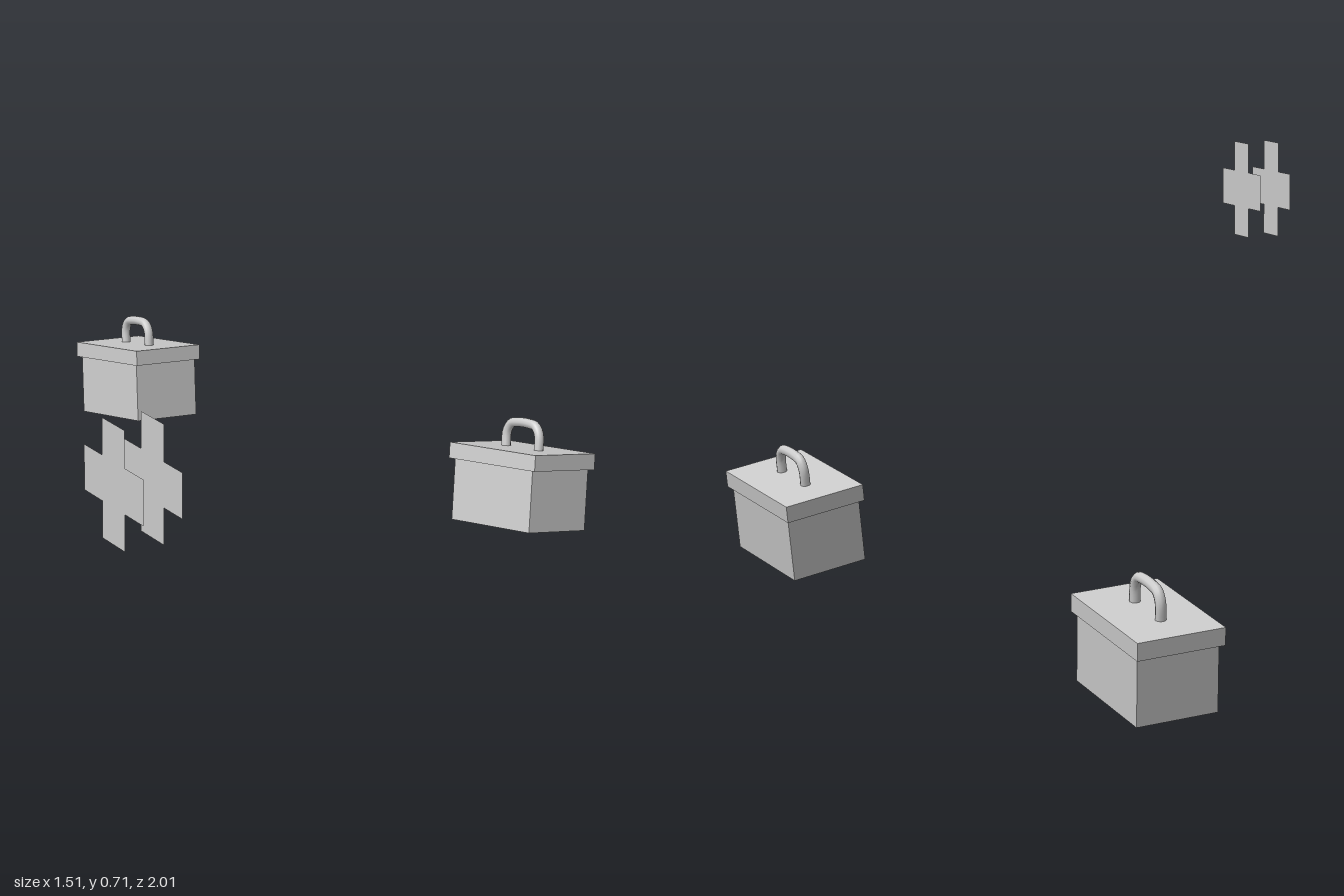
import * as THREE from 'three';

const grey = new THREE.MeshStandardMaterial({ color: 0xcccccc, flatShading: true });
const thinGrey = new THREE.MeshStandardMaterial({ color: 0xcccccc, side: THREE.DoubleSide });
const smoothGrey = new THREE.MeshStandardMaterial({ color: 0xcccccc });

function part(parent, name, geometry, material, x = 0, y = 0, z = 0) {
  const mesh = new THREE.Mesh(geometry, material);
  mesh.name = name;
  mesh.position.set(x, y, z);
  parent.add(mesh);
  return mesh;
}

// Carry case; its origin is the middle of the lid's top
function carryCase(name, position, rotation) {
  const box = new THREE.Group();
  box.name = name;
  const height = 0.145, lid = 0.03;
  part(box, 'body', new THREE.BoxGeometry(0.142, height - lid, 0.21), grey, 0, -(height + lid) / 2, 0);
  part(box, 'lid', new THREE.BoxGeometry(0.153, lid, 0.232), grey, 0, -lid / 2, 0);

  // Arched grip running front to back
  const path = new THREE.CatmullRomCurve3([
    [-0.005, -0.044], [0.028, -0.043], [0.043, -0.033], [0.047, -0.015],
    [0.047, 0.015], [0.043, 0.033], [0.028, 0.043], [-0.005, 0.044],
  ].map(([y, z]) => new THREE.Vector3(0, y, z)));
  part(box, 'handle', new THREE.TubeGeometry(path, 28, 0.009, 10), smoothGrey);

  box.position.set(...position);
  box.rotation.set(...rotation);
  return box;
}

// Flat plus-shaped panel in the xy plane
function crossGeometry(half, arm) {
  const points = [];
  for (let i = 0; i < 4; i++) {
    for (const [x, y] of [[half, -arm], [half, arm], [arm, arm]]) {
      points.push(new THREE.Vector2(x, y).rotateAround(new THREE.Vector2(), i * Math.PI / 2));
    }
  }
  return new THREE.ShapeGeometry(new THREE.Shape(points));
}

export function createModel() {
  const model = new THREE.Group();
  model.name = 'casesAndCrosses';

  model.add(carryCase('frontCase', [0.675, 0.223, 0.232], [-0.14, 0.045, -0.17]));
  model.add(carryCase('backCase', [0.599, 0.168, -0.887], [-0.165, -0.05, -0.08]));

  // Pair of parallel cross panels, turned slightly from the side
  const panels = new THREE.Group();
  panels.name = 'crossPanels';
  panels.position.set(-0.706, 0.616, 0.902);
  panels.rotation.y = Math.PI / 2 - 0.14;
  model.add(panels);
  const cross = crossGeometry(0.097, 0.037);
  for (const side of [-1, 1]) {
    part(panels, side < 0 ? 'outerCross' : 'innerCross', cross, thinGrey, 0, 0, side * 0.0335);
  }
  return model;
}
